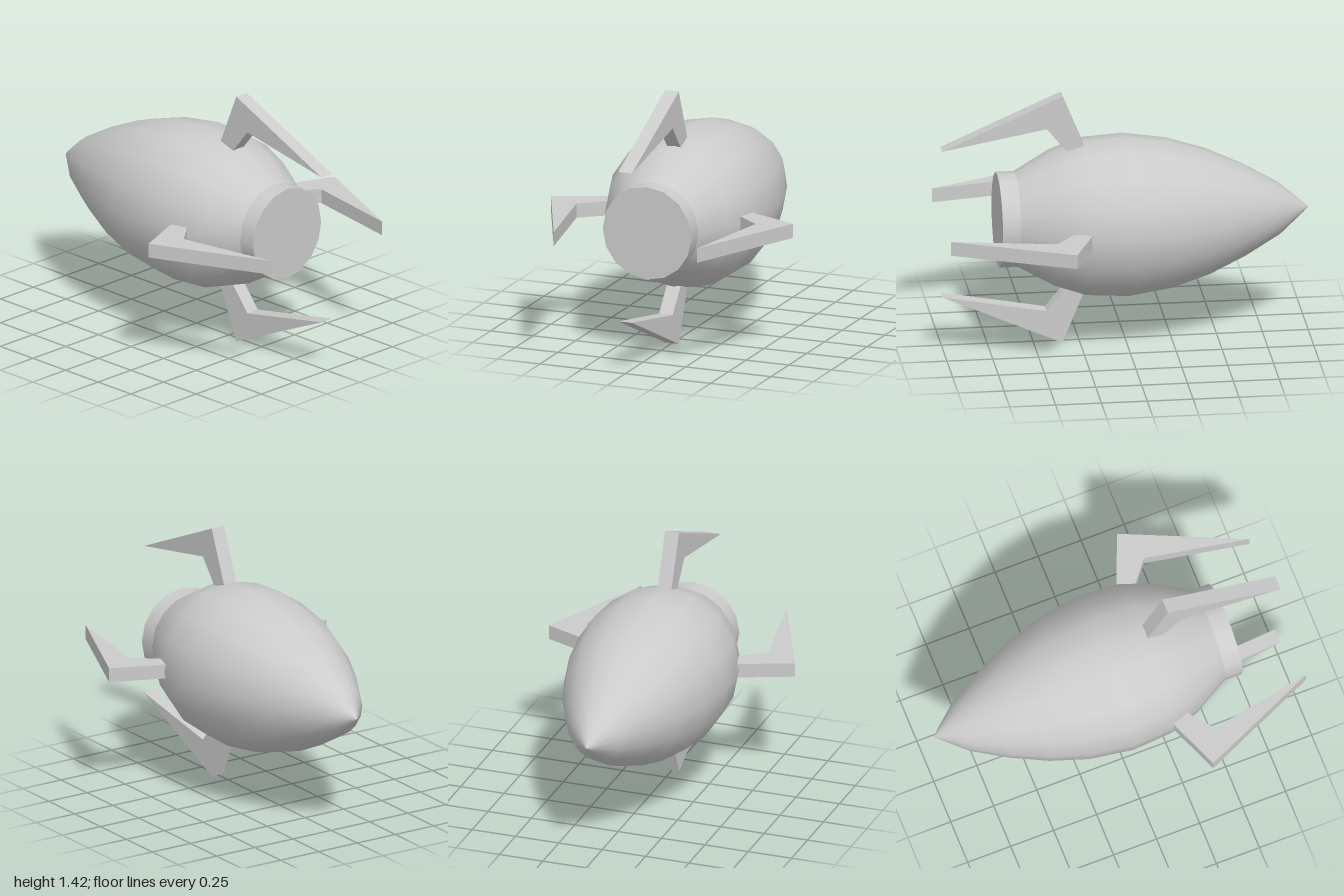
import * as THREE from 'three';

const AXIS_Y = 0.714; // height of the rocket's long axis
const SIDES = 16;
const FIN_WIDTH = 0.08;

export function createModel() {
  const model = new THREE.Group();
  model.name = 'rocket';
  const material = new THREE.MeshStandardMaterial({ color: 0xcccccc });

  // Everything is built around the z axis, then lifted
  const add = (name, geometry) => {
    const mesh = new THREE.Mesh(geometry, material);
    mesh.name = name;
    mesh.position.y = AXIS_Y;
    model.add(mesh);
    return mesh;
  };

  // Hull: [z, radius] from the nose tip to the tail
  const profile = [
    [-1, 0], [-0.975, 0.025], [-0.84, 0.142], [-0.65, 0.25], [-0.45, 0.342], [-0.24, 0.408],
    [0, 0.443], [0.23, 0.428], [0.4, 0.37], [0.595, 0.26],
  ].map(([z, r]) => new THREE.Vector2(r, z));
  add('hull', new THREE.LatheGeometry(profile, SIDES).rotateX(Math.PI / 2));

  // Nozzle: short capped collar at the tail
  add('nozzle', new THREE.CylinderGeometry(0.26, 0.26, 0.1, SIDES)
    .rotateX(Math.PI / 2).translate(0, 0, 0.645));

  // Fins: bent legs, [z, radius], with the roots sunk into the hull
  const finShape = new THREE.Shape([
    [0.21, 0.38], [0.3, 0.364], [0.43, 0.525], [1, 0.42], [0.345, 0.71],
  ].map(([z, r]) => new THREE.Vector2(z, r)));
  const finGeometry = new THREE.ExtrudeGeometry(finShape, { depth: FIN_WIDTH, bevelEnabled: false })
    .translate(0, 0, -FIN_WIDTH / 2)
    .rotateY(-Math.PI / 2);
  ['topFin', 'rightFin', 'bottomFin', 'leftFin'].forEach((name, i) => {
    add(name, finGeometry).rotation.z = i * Math.PI / 2;
  });

  return model;
}
